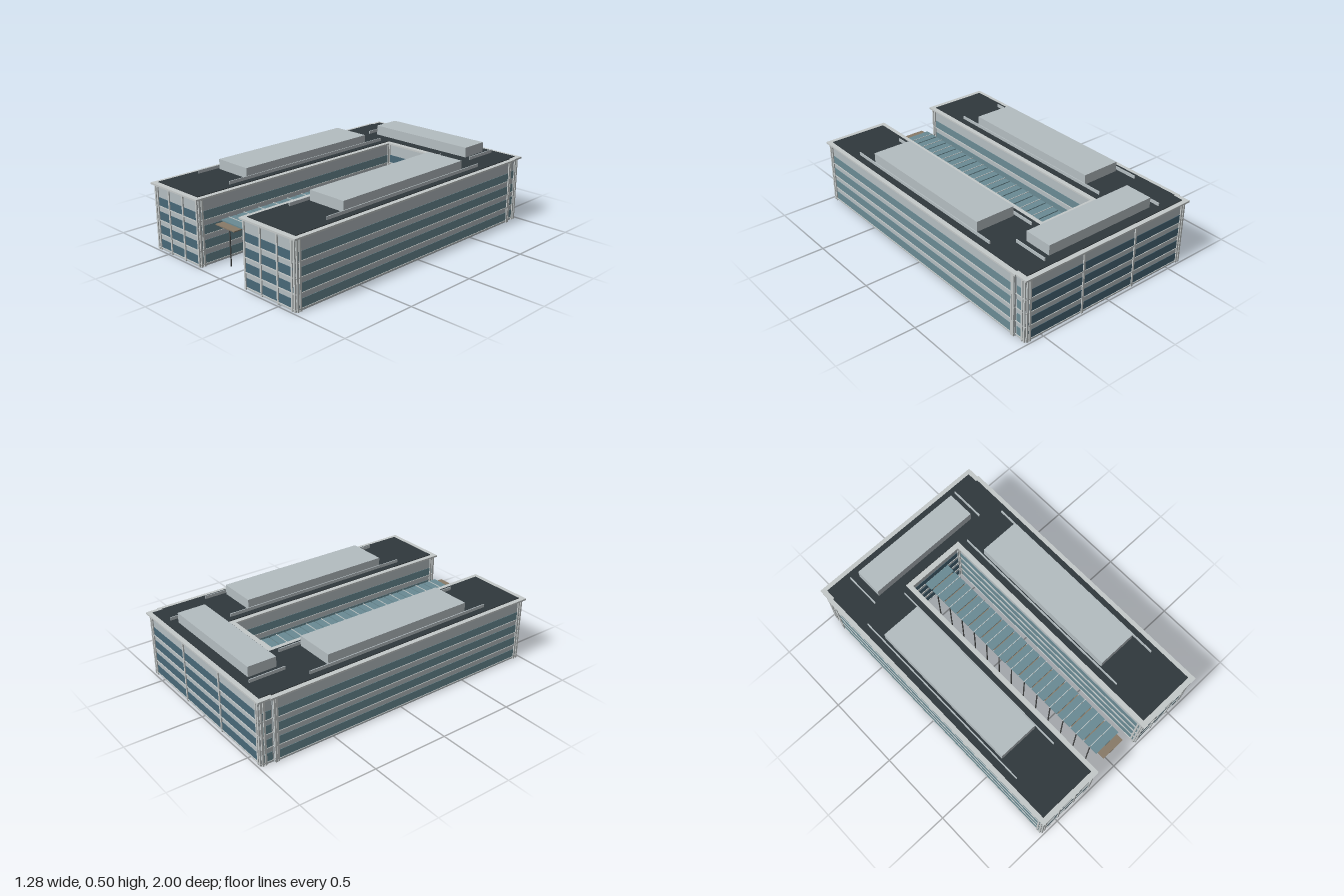
import * as THREE from 'three';

const mat = (color) => new THREE.MeshStandardMaterial({ color, flatShading: true });
const wallMat = mat(0xb4bdc1), trimMat = mat(0xc4c9c9), roofMat = mat(0x30383c);
const darkGlass = mat(0x486878), lightGlass = mat(0x6a8b94);
const postMat = mat(0x4a4c4c), timberMat = mat(0x887a68);

const FLOORS = [[0.017, 0.07], [0.107, 0.16], [0.197, 0.25], [0.288, 0.34]];
const TOP = 0.415;

// Box given by its lower and upper corner.
function box(parent, name, material, [x0, y0, z0], [x1, y1, z1]) {
  const m = new THREE.Mesh(new THREE.BoxGeometry(x1 - x0, y1 - y0, z1 - z0), material);
  m.position.set((x0 + x1) / 2, (y0 + y1) / 2, (z0 + z1) / 2);
  m.name = name;
  parent.add(m);
  return m;
}

// U-shaped slab, open to the front, with a small step in at the rear corners.
function uSlab(parent, name, material, o, y0, y1) {
  const half = [[o.inner, -o.court], [o.inner, -o.front], [o.outer, -o.front],
    [o.outer, -o.step], [o.rear, -o.step], [o.rear, -o.back]];
  const mirrored = half.map(([x, y]) => [-x, y]).reverse();
  const shape = new THREE.Shape([...half, ...mirrored].map(([x, y]) => new THREE.Vector2(x, y)));
  const g = new THREE.ExtrudeGeometry(shape, { depth: y1 - y0, bevelEnabled: false });
  g.rotateX(-Math.PI / 2);
  const m = new THREE.Mesh(g, material);
  m.position.y = y0;
  m.name = name;
  parent.add(m);
}

// Wall dressing: local x runs along the wall, local z points outward.
function facade(parent, name, length, glass, columns, x, z, angle) {
  const f = new THREE.Group();
  f.name = name;
  const h = length / 2;
  for (const [a, b] of FLOORS) {
    box(f, 'windowBand', glass, [-h + 0.008, a, -0.002], [h - 0.008, b, 0.002]);
    box(f, 'sill', trimMat, [-h, a - 0.006, -0.002], [h, a, 0.006]);
  }
  for (const c of columns)
    box(f, 'column', trimMat, [c - 0.006, 0, -0.002], [c + 0.006, TOP, 0.008]);
  f.position.set(x, 0, z);
  f.rotation.y = angle;
  parent.add(f);
}

export function createModel() {
  const model = new THREE.Group();
  model.name = 'courtyardBuilding';

  // Main volume, cornice and roof surface
  uSlab(model, 'walls', wallMat,
    { outer: 0.622, inner: 0.205, front: 0.98, court: -0.64, back: -0.98, step: -0.9, rear: 0.612 }, 0, TOP);
  uSlab(model, 'cornice', trimMat,
    { outer: 0.64, inner: 0.19, front: 1, court: -0.625, back: -1, step: -0.92, rear: 0.632 }, TOP, 0.426);
  uSlab(model, 'roof', roofMat,
    { outer: 0.61, inner: 0.222, front: 0.965, court: -0.66, back: -0.97, step: -0.9, rear: 0.6 }, 0.42, 0.43);

  // Facades of the two wings
  for (const s of [-1, 1]) {
    const out = s * Math.PI / 2;
    facade(model, 'wingFront', 0.417, darkGlass, [-0.202, -0.182, -0.068, 0.068, 0.182, 0.202].filter(
      (c) => Math.abs(c) !== 0.182 || c * s > 0), s * 0.4135, 0.98, 0);
    facade(model, 'wingOuterSide', 1.88, lightGlass,
      [0.972, 0.952, -0.878, -0.892].map((z) => -s * (z - 0.04)), s * 0.622, 0.04, out);
    facade(model, 'rearBlockSide', 0.08, lightGlass,
      [-0.953, -0.972].map((z) => -s * (z + 0.94)), s * 0.612, -0.94, out);
    facade(model, 'wingCourtSide', 1.62, lightGlass,
      [0.972, 0.952, -0.63].map((z) => s * (z - 0.17)), s * 0.205, 0.17, -out);
  }

  // Rear block facades
  facade(model, 'courtEnd', 0.41, darkGlass, [-0.196, 0.196], 0, -0.64, 0);
  facade(model, 'back', 1.224, darkGlass, [-0.604, -0.585, -0.2, 0.2, 0.585, 0.604], 0, -0.98, Math.PI);

  // Rooftop plant rooms and low screens
  for (const s of [-1, 1]) {
    const plant = box(model, 'wingPlantRoom', wallMat, [-0.1325, 0.425, -0.48], [0.1325, 0.495, 0.555]);
    plant.position.x = s * 0.4125;
    for (const x of [0.265, 0.565])
      box(model, 'roofScreen', wallMat, [s * x - 0.003, 0.425, -0.62], [s * x + 0.003, 0.45, 0.7]);
    box(model, 'rearRoofScreen', wallMat, [s * 0.441 - 0.003, 0.425, -0.93], [s * 0.441 + 0.003, 0.45, -0.695]);
  }
  box(model, 'rearPlantRoom', wallMat, [-0.39, 0.425, -0.905], [0.39, 0.495, -0.72]);

  // Covered walkway along the court: timber deck, glass panels, ribs and posts
  const walkway = new THREE.Group();
  walkway.name = 'walkway';
  model.add(walkway);
  box(walkway, 'canopyDeck', timberMat, [-0.083, 0.292, -0.63], [0.083, 0.298, 0.95]);
  const pitch = 0.1132;
  for (let i = 0; i < 14; i++) {
    const z1 = 0.9 - i * pitch, z0 = Math.max(z1 - pitch + 0.008, -0.63);
    box(walkway, 'glassPanel', lightGlass, [-0.095, 0.3, z0], [0.095, 0.308, z1]);
    const mid = z1 - pitch / 2;
    if (mid < -0.62) continue;
    box(walkway, 'rib', trimMat, [-0.099, 0.304, mid - 0.002], [0.099, 0.311, mid + 0.002]);
    for (const s of [-1, 1])
      box(walkway, 'post', postMat, [s * 0.094 - 0.003, 0, mid - 0.003], [s * 0.094 + 0.003, 0.304, mid + 0.003]);
  }
  return model;
}
